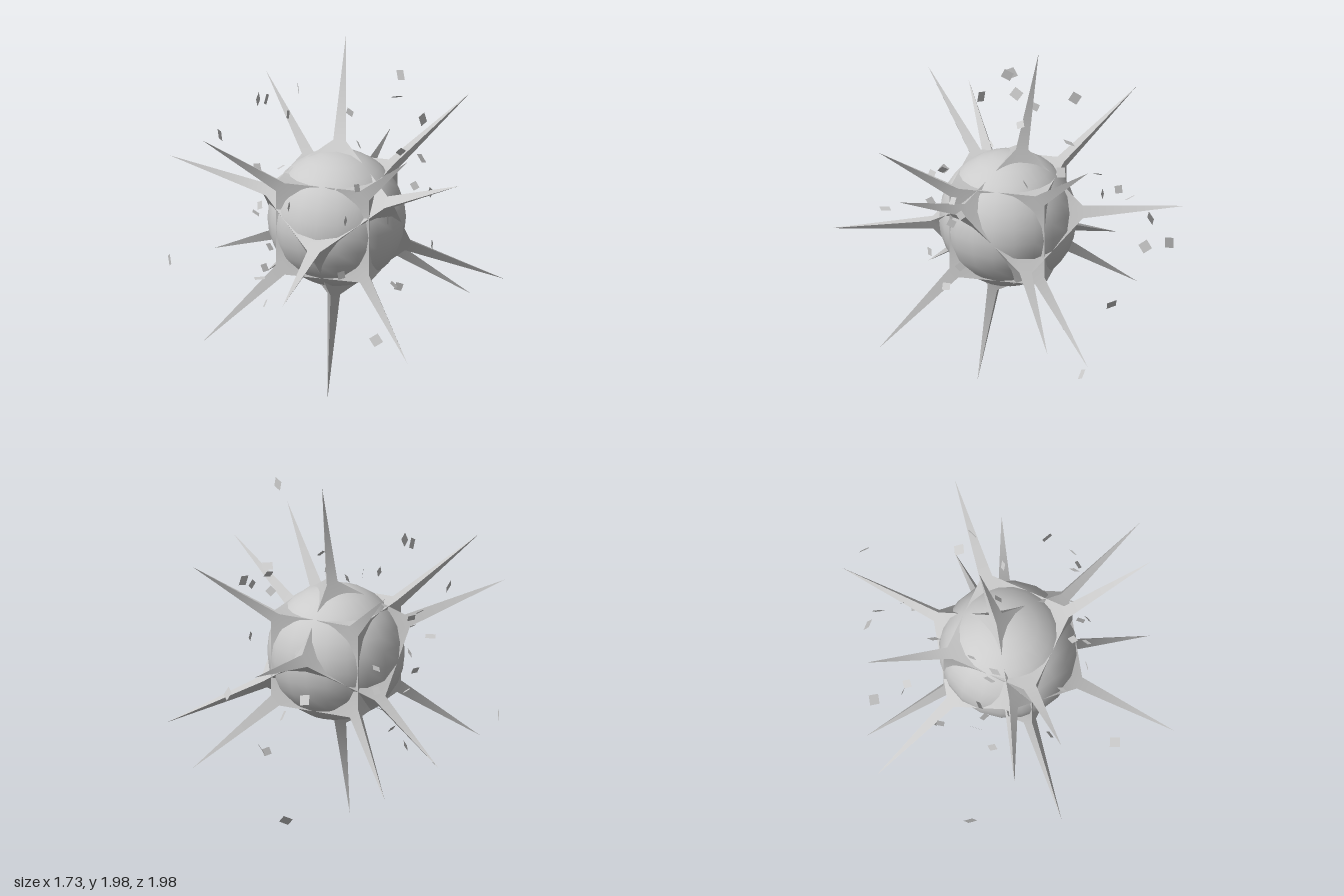
import * as THREE from 'three';
import { toCreasedNormals } from 'three/addons/utils/BufferGeometryUtils.js';

const HALF = 0.263; // half side of a cube
const CUT = 0.05; // corner cut where a spike grows
const TIP = 0.58; // spike tip coordinate along each axis

// Cube whose eight cut corners are drawn out into long three-sided spikes
function spikedCube() {
  const positions = [];
  const ab = new THREE.Vector3(), ac = new THREE.Vector3(), mid = new THREE.Vector3();
  const tri = (a, b, c) => {
    ab.subVectors(b, a).cross(ac.subVectors(c, a));
    mid.copy(a).add(b).add(c);
    const order = ab.dot(mid) > 0 ? [a, b, c] : [a, c, b];
    order.forEach(p => positions.push(p.x, p.y, p.z));
  };
  const point = (axis, side, u, v) => {
    const p = new THREE.Vector3();
    p.setComponent(axis, side * HALF);
    p.setComponent((axis + 1) % 3, u);
    p.setComponent((axis + 2) % 3, v);
    return p;
  };
  const s = HALF - CUT;
  const ring = [[HALF, s], [s, HALF], [-s, HALF], [-HALF, s], [-HALF, -s], [-s, -HALF], [s, -HALF], [HALF, -s]];
  for (let axis = 0; axis < 3; axis++) {
    for (const side of [-1, 1]) {
      const centre = point(axis, side, 0, 0);
      const rim = ring.map(([u, v]) => point(axis, side, u, v));
      rim.forEach((p, i) => {
        const q = rim[(i + 1) % 8];
        tri(centre, p, q);
        // short rim edges also carry one side of a spike
        if (i % 2 === 0) {
          const [u, v] = ring[i];
          const tip = point(axis, side, Math.sign(u) * TIP, Math.sign(v) * TIP);
          tip.setComponent(axis, side * TIP);
          tri(p, q, tip);
        }
      });
    }
  }
  const geometry = new THREE.BufferGeometry();
  geometry.setAttribute('position', new THREE.Float32BufferAttribute(positions, 3));
  return toCreasedNormals(geometry, 0.9);
}

// Centres of the loose square shards
const SHARDS = [
  [0.43, 1.88, 0.06], [-0.32, 1.67, 0.09], [-0.37, 1.66, 0.08], [-0.26, 1.6, -0.3],
  [-0.25, 1.53, -0.08], [-0.58, 1.44, 0.1], [0.27, 1.58, -0.39], [0.1, 1.58, -0.08],
  [0.42, 1.47, -0.38], [0.36, 1.35, -0.17], [0.28, 1.32, 0.37], [0.15, 1.29, 0.34],
  [0.62, 1.25, 0.13], [0.41, 1.1, 0.23], [0.63, 0.95, 0.13], [0.29, 0.5, -0.36],
  [0.14, 0.15, -0.43], [-0.33, 0.49, 0.08], [-0.84, 0.72, 0.18], [-0.4, 0.7, -0.23],
  [-0.49, 0.93, -0.55], [-0.46, 0.91, -0.17], [-0.24, 0.81, 0.38], [-0.4, 0.98, -0.42],
  [-0.37, 1.04, 0.05], [-0.39, 1.1, -0.4], [-0.36, 1.22, 0.2], [-0.39, 1.25, 0.03],
  [0.24, 1.03, -0.94], [-0.13, 0.99, -0.75], [0, 0.88, -0.75], [-0.01, 1.2, -0.6],
  [0.2, 0.61, -0.61], [-0.1, 1.18, 0.39], [0.22, 1.13, 0.39], [0.2, 0.82, 0.4],
  [-0.16, 0.88, 0.73], [0.45, 0.74, 0.25], [0.55, 1.3, 0.19]
];

export function createModel() {
  const model = new THREE.Group();
  const grey = new THREE.MeshStandardMaterial({ color: 0xcccccc });
  const thin = new THREE.MeshStandardMaterial({ color: 0xcccccc, side: THREE.DoubleSide });
  const add = (name, geometry, material, x, y, z) => {
    const mesh = new THREE.Mesh(geometry, material);
    mesh.name = name;
    mesh.position.set(x, y, z);
    model.add(mesh);
    return mesh;
  };

  // Round core with two interlocking spiked cubes
  add('core', new THREE.SphereGeometry(0.375, 20, 14), grey, 0.05, 1, 0);
  const cube = spikedCube();
  add('straightSpikedCube', cube, grey, 0.05, 1, 0);
  add('tiltedSpikedCube', cube, grey, 0.05, 1, 0).rotation.set(Math.PI / 4, Math.PI / 4, 0);

  // Floating shards, each turned its own way
  let seed = 7;
  const random = () => (seed = (seed * 16807) % 2147483647) / 2147483647;
  const square = new THREE.PlaneGeometry(1, 1);
  SHARDS.forEach(([x, y, z], i) => {
    const far = Math.hypot(x - 0.05, y - 1, z) > 0.7;
    const shard = add(`shard${i + 1}`, square, thin, x, y, z);
    shard.scale.setScalar(far ? 0.055 : 0.042);
    shard.rotation.set(random() * 6.28, random() * 6.28, random() * 6.28);
  });
  return model;
}
